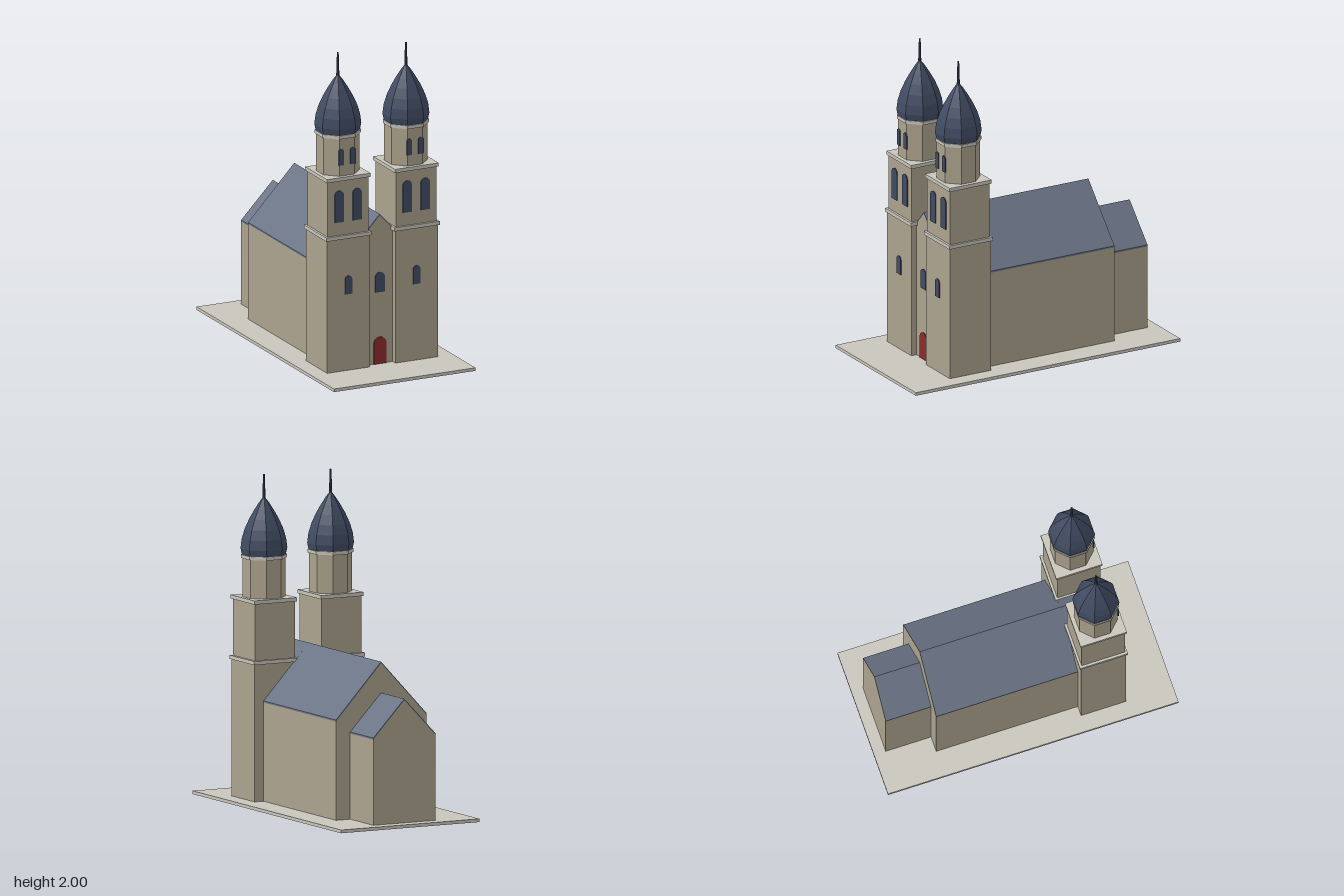
import * as THREE from 'three';

const mat = (name, color) => {
  const m = new THREE.MeshStandardMaterial({ color });
  m.name = name;
  return m;
};

export function createModel() {
  const stone = mat('sandstone', 0xaca38e);
  const trim = mat('pale trim', 0xc8c5bc);
  const slate = mat('roof slate', 0x6b7486);
  const dark = mat('dark blue', 0x414c63);
  const red = mat('door red', 0x8c2a2a);

  const church = new THREE.Group();
  church.name = 'church';

  const add = (parent, name, geo, material, x = 0, y = 0, z = 0) => {
    const mesh = new THREE.Mesh(geo, material);
    mesh.name = name;
    mesh.position.set(x, y, z);
    parent.add(mesh);
    return mesh;
  };
  // box standing from y0 to y1
  const block = (parent, name, material, w, y0, y1, d, x = 0, z = 0) =>
    add(parent, name, new THREE.BoxGeometry(w, y1 - y0, d), material, x, (y0 + y1) / 2, z);
  // facets instead of smooth normals
  const facet = (geo) => {
    const g = geo.toNonIndexed();
    g.computeVertexNormals();
    return g;
  };
  // octagonal prism with a flat side facing the front; r is the distance to a flat side
  const K = 1 / Math.cos(Math.PI / 8);
  const octagon = (parent, name, material, r, y0, y1) =>
    add(parent, name,
      facet(new THREE.CylinderGeometry(r * K, r * K, y1 - y0, 8, 1, false, Math.PI / 8)),
      material, 0, (y0 + y1) / 2, 0);
  // thin round-headed plate, its back on the wall at z
  const arch = (parent, name, material, w, y0, y1, x, z) => {
    const r = w / 2;
    const s = new THREE.Shape();
    s.moveTo(-r, 0);
    s.lineTo(r, 0);
    s.lineTo(r, y1 - y0 - r);
    s.absarc(0, y1 - y0 - r, r, 0, Math.PI, false);
    s.closePath();
    const geo = new THREE.ExtrudeGeometry(s, { depth: 0.007, bevelEnabled: false, curveSegments: 10 });
    return add(parent, name, geo, material, x, y0, z - 0.001);
  };
  const prism = (points, z0, z1) => {
    const s = new THREE.Shape(points.map(([x, y]) => new THREE.Vector2(x, y)));
    const geo = new THREE.ExtrudeGeometry(s, { depth: z1 - z0, bevelEnabled: false });
    return geo.translate(0, 0, z0);
  };
  // gabled hall: walls and a thin roof on top
  const hall = (name, half, eaves, ridge, z0, z1) => {
    const g = new THREE.Group();
    g.name = name;
    const t = 0.01;
    add(g, name + 'Walls', prism([[-half, 0.02], [half, 0.02], [half, eaves - t],
      [0, ridge - t], [-half, eaves - t]], z0, z1), stone);
    add(g, name + 'Roof', prism([[-half, eaves - t], [0, ridge - t], [half, eaves - t],
      [half, eaves], [0, ridge], [-half, eaves]], z0, z1), slate);
    church.add(g);
  };

  // ground slab
  block(church, 'base', trim, 0.96, 0, 0.02, 1.86);

  // main body
  hall('nave', 0.313, 0.635, 0.97, -0.565, 0.345);
  hall('choir', 0.215, 0.555, 0.78, -0.855, -0.56);
  hall('entranceBay', 0.09, 0.874, 0.97, 0.34, 0.592);
  arch(church, 'door', red, 0.085, 0.02, 0.19, 0, 0.592);
  arch(church, 'entranceWindow', dark, 0.064, 0.475, 0.602, 0, 0.592);

  // onion dome profile, measured to the flat sides
  const dome = [[0, 1.51], [0.124, 1.51], [0.132, 1.55], [0.125, 1.61], [0.108, 1.67],
    [0.083, 1.73], [0.054, 1.785], [0.027, 1.83], [0.009, 1.855], [0.007, 1.93], [0.005, 2], [0, 2]]
    .map(([r, y]) => new THREE.Vector2(r * K, y));

  // twin towers
  for (const side of [-1, 1]) {
    const t = new THREE.Group();
    t.name = side > 0 ? 'leftTower' : 'rightTower';
    t.position.set(side * 0.231, 0, 0.485);
    block(t, 'lowerStage', stone, 0.288, 0.02, 0.86, 0.288);
    block(t, 'lowerLedge', trim, 0.306, 0.86, 0.883, 0.306);
    block(t, 'bellStage', stone, 0.276, 0.883, 1.23, 0.276);
    block(t, 'upperLedge', trim, 0.296, 1.23, 1.253, 0.296);
    octagon(t, 'lantern', stone, 0.122, 1.253, 1.49);
    octagon(t, 'lanternRing', trim, 0.13, 1.49, 1.511);
    add(t, 'dome', facet(new THREE.LatheGeometry(dome, 8, Math.PI / 8)), dark);

    arch(t, 'lowerWindow', dark, 0.048, 0.505, 0.622, 0, 0.144);
    for (const s of [-1, 1]) {
      arch(t, 'bellWindow', dark, 0.062, 0.967, 1.168, s * 0.061, 0.138);
      arch(t, 'lanternWindow', dark, 0.035, 1.322, 1.426, s * 0.039, 0.122);
    }
    church.add(t);
  }
  return church;
}
